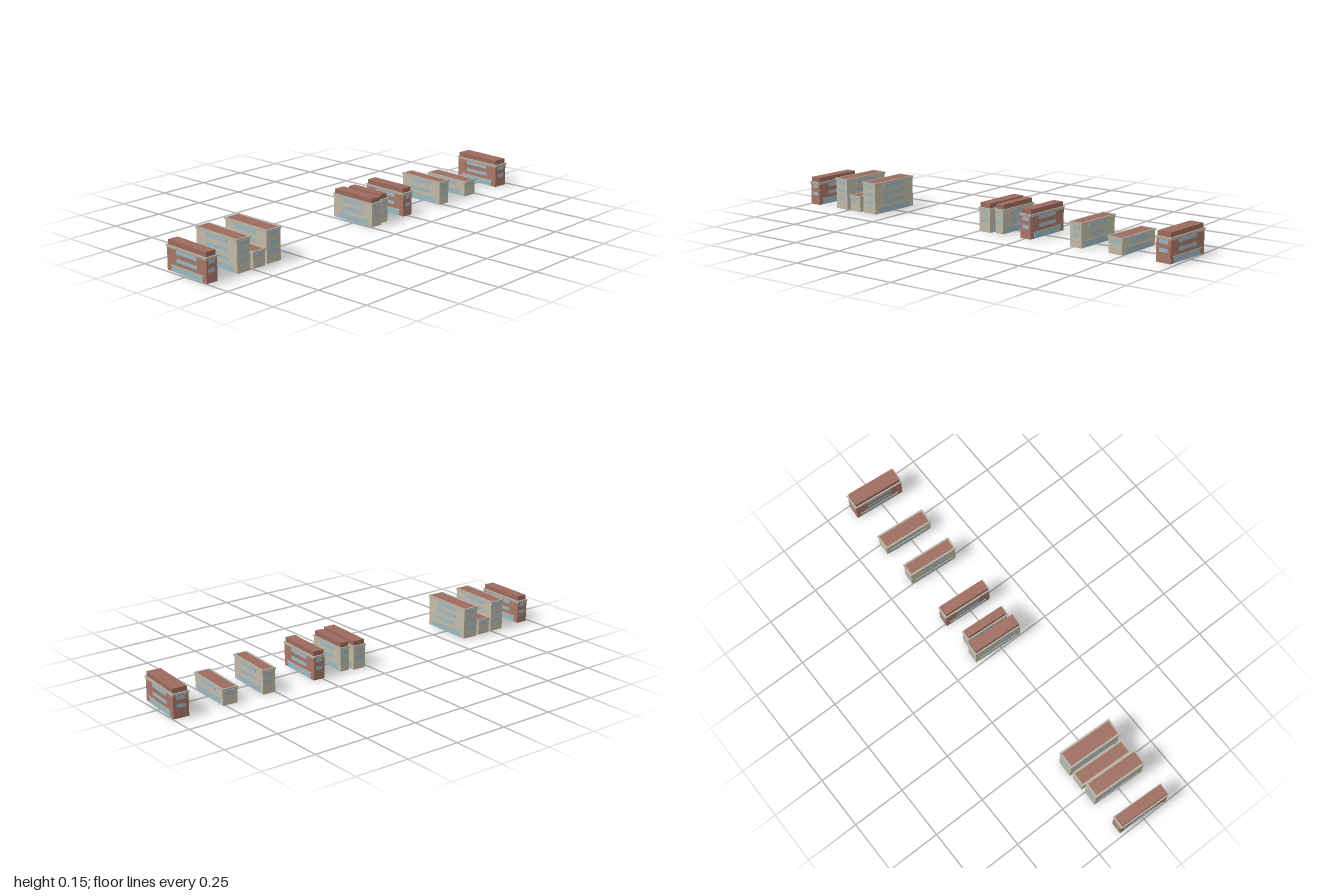
import * as THREE from 'three';

const mat = (color) => new THREE.MeshStandardMaterial({ color });
const brick = mat(0xa87868), stone = mat(0xc2baa8), roofRed = mat(0x9c6a5c);
const trim = mat(0xb4b0a4), glass = mat(0x9cb8c4);
const FLOOR = 0.036;

function box(name, w, h, d, x, y, z, material) {
  const m = new THREE.Mesh(new THREE.BoxGeometry(w, h, d), material);
  m.name = name;
  m.position.set(x, y, z);
  return m;
}

// Rectangular frame lying flat, from y upward by h
function frame(name, w, d, rim, h, y, material) {
  const rect = (S, a, b) => new S([
    new THREE.Vector2(-a, -b), new THREE.Vector2(a, -b),
    new THREE.Vector2(a, b), new THREE.Vector2(-a, b)]);
  const shape = rect(THREE.Shape, w / 2, d / 2);
  shape.holes.push(rect(THREE.Path, w / 2 - rim, d / 2 - rim));
  const g = new THREE.ExtrudeGeometry(shape, { depth: h, bevelEnabled: false });
  g.rotateX(-Math.PI / 2);
  const m = new THREE.Mesh(g, material);
  m.name = name;
  m.position.y = y;
  return m;
}

// One block: w and d are the wall footprint, before the cornice overhang
function building({ x, z, w, d, floors, turn, wall, attic }) {
  const b = new THREE.Group();
  b.name = 'building';
  const H = floors * FLOOR + 0.002;
  const wallTop = H - 0.003;
  b.add(box('walls', w, wallTop, d, 0, wallTop / 2, 0, wall));
  b.add(box('roof', w - 0.004, 0.001, d - 0.004, 0, wallTop + 0.0005, 0, roofRed));

  // Stepped cornice round the top
  b.add(frame('cornice', w + 0.008, d + 0.008, 0.008, 0.005, H - 0.005, trim));
  b.add(frame('corniceMoulding', w + 0.004, d + 0.004, 0.004, 0.003, H - 0.011, trim));

  // Set-back top storey
  if (attic) b.add(box('attic', w - 0.005, 0.025, d - 0.009, 0, H + 0.0085, 0, roofRed));

  // Window strips on all four walls of the upper floors
  for (let f = 1; f < floors; f++) {
    const y = 0.053 + (f - 1) * 0.0355;
    for (const s of [-1, 1]) {
      b.add(box('sideWindow', 0.001, 0.016, d * 0.52, s * w / 2, y, 0, glass));
      b.add(box('endWindow', w * 0.6, 0.016, 0.001, 0, y, s * d / 2, glass));
    }
  }

  // Ground-floor shop windows with a ledge
  for (const s of [-1, 1]) {
    b.add(box('shopWindow', 0.001, 0.027, d * 0.79, s * w / 2, 0.0135, 0, glass));
    b.add(box('shopLedge', 0.006, 0.003, d * 0.84, s * w / 2, 0.0285, 0, trim));
  }

  b.position.set(x, 0, z);
  b.rotation.y = -turn;
  return b;
}

export function createModel() {
  const row = new THREE.Group();
  row.name = 'buildingRow';
  // x, z, width, depth, floors, turn, wall, attic
  const plan = [
    [-0.963, 0.003, 0.055, 0.249, 3, 0.048, brick, true],
    [-0.79, 0, 0.07, 0.256, 4, 0.05, stone, false],
    [-0.706, 0, 0.064, 0.259, 2, 0.045, stone, false],
    [-0.62, -0.002, 0.077, 0.259, 4, 0.045, stone, false],
    [0.041, -0.011, 0.06, 0.242, 3, 0.055, stone, true],
    [0.109, -0.01, 0.044, 0.211, 3, 0.055, stone, true],
    [0.259, -0.012, 0.055, 0.235, 3, 0.06, brick, true],
    [0.521, -0.01, 0.06, 0.238, 3, 0.068, stone, false],
    [0.717, -0.01, 0.07, 0.238, 2, 0.07, stone, false],
    [0.951, -0.005, 0.071, 0.246, 3, 0.08, brick, true],
  ];
  for (const [x, z, w, d, floors, turn, wall, attic] of plan)
    row.add(building({ x, z, w, d, floors, turn, wall, attic }));
  return row;
}
